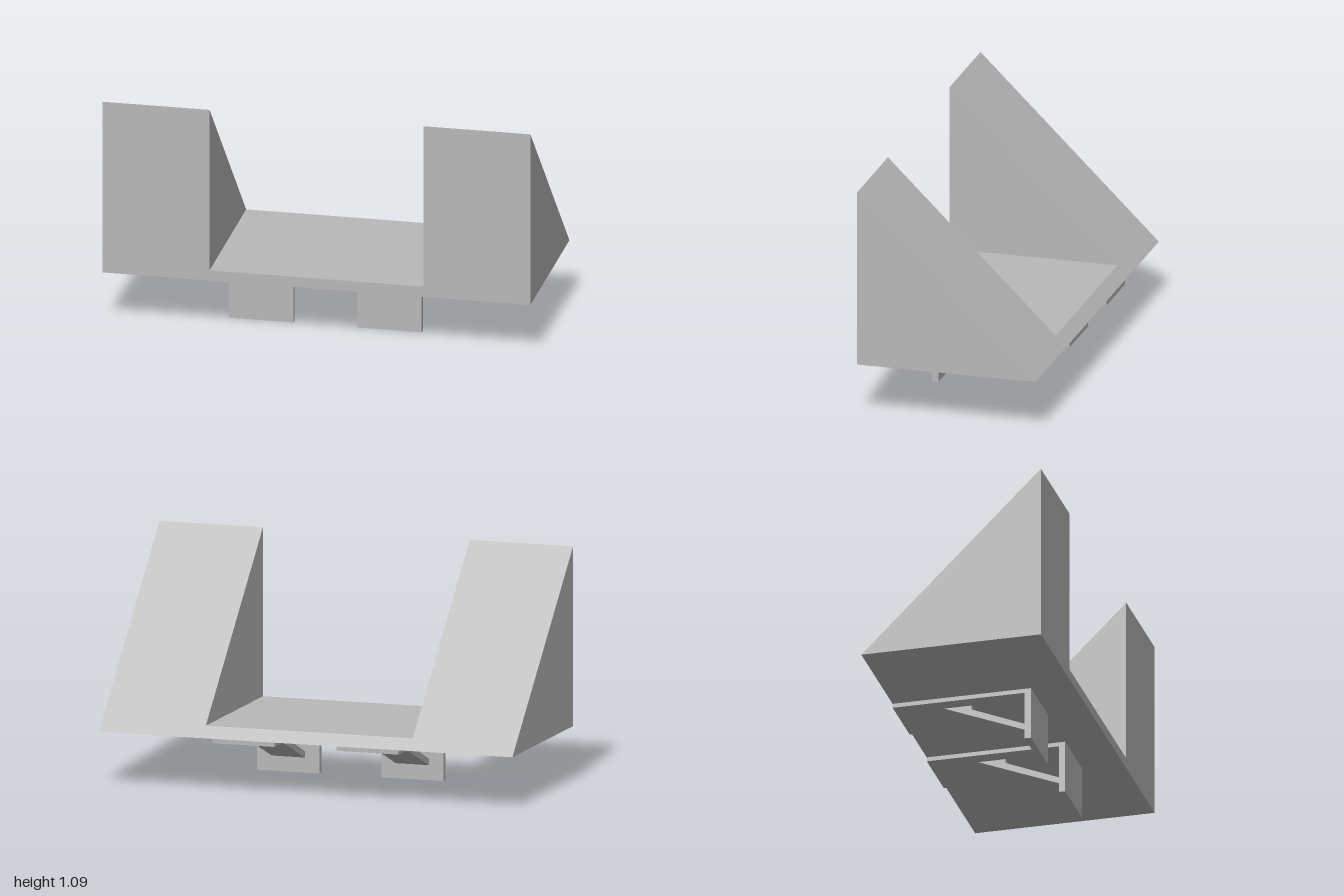
import * as THREE from 'three';

const grey = new THREE.MeshStandardMaterial({ color: 0xb8b8b8 });
grey.name = 'plain grey';

// Side profile given as [z, y] points, extruded across x and centred on x
function slab(name, profile, width, x) {
  const shape = new THREE.Shape(profile.map(([z, y]) => new THREE.Vector2(z, y)));
  const geometry = new THREE.ExtrudeGeometry(shape, { depth: width, bevelEnabled: false });
  geometry.translate(0, 0, -width / 2).rotateY(-Math.PI / 2);
  const mesh = new THREE.Mesh(geometry, grey);
  mesh.name = name;
  mesh.position.x = x;
  return mesh;
}

export function createModel() {
  const model = new THREE.Group();
  model.name = 'wedgeShelf';

  const front = 0.425, back = -0.425, base = 0.25, top = 1.085, deck = 0.3;
  const slopeZ = back + (front - back) * (deck - base) / (top - base);

  // Low deck between the wedges, its back edge cut along the same slope
  model.add(slab('deck', [[back, base], [front, base], [front, deck], [slopeZ, deck]], 1, 0));

  for (const side of [-1, 1]) {
    const label = side > 0 ? 'left' : 'right';

    // Tall wedge at each end
    model.add(slab(label + 'Wedge', [[back, base], [front, base], [front, top]], 0.5, side * 0.75));

    // Angle bracket underneath: upright leg, flat top plate and narrow brace
    const bracket = new THREE.Group();
    bracket.name = label + 'Bracket';
    bracket.position.x = side * 0.3;
    bracket.add(
      slab('anglePlate', [[0.2, 0], [0.23, 0], [0.23, base], [back, base], [back, 0.23], [0.2, 0.23]], 0.3, 0),
      slab('brace', [[0.2, 0.07], [0.2, 0.1], [-0.07, 0.21], [-0.07, 0.23], [-0.2, 0.23]], 0.16, 0)
    );
    model.add(bracket);
  }
  return model;
}
